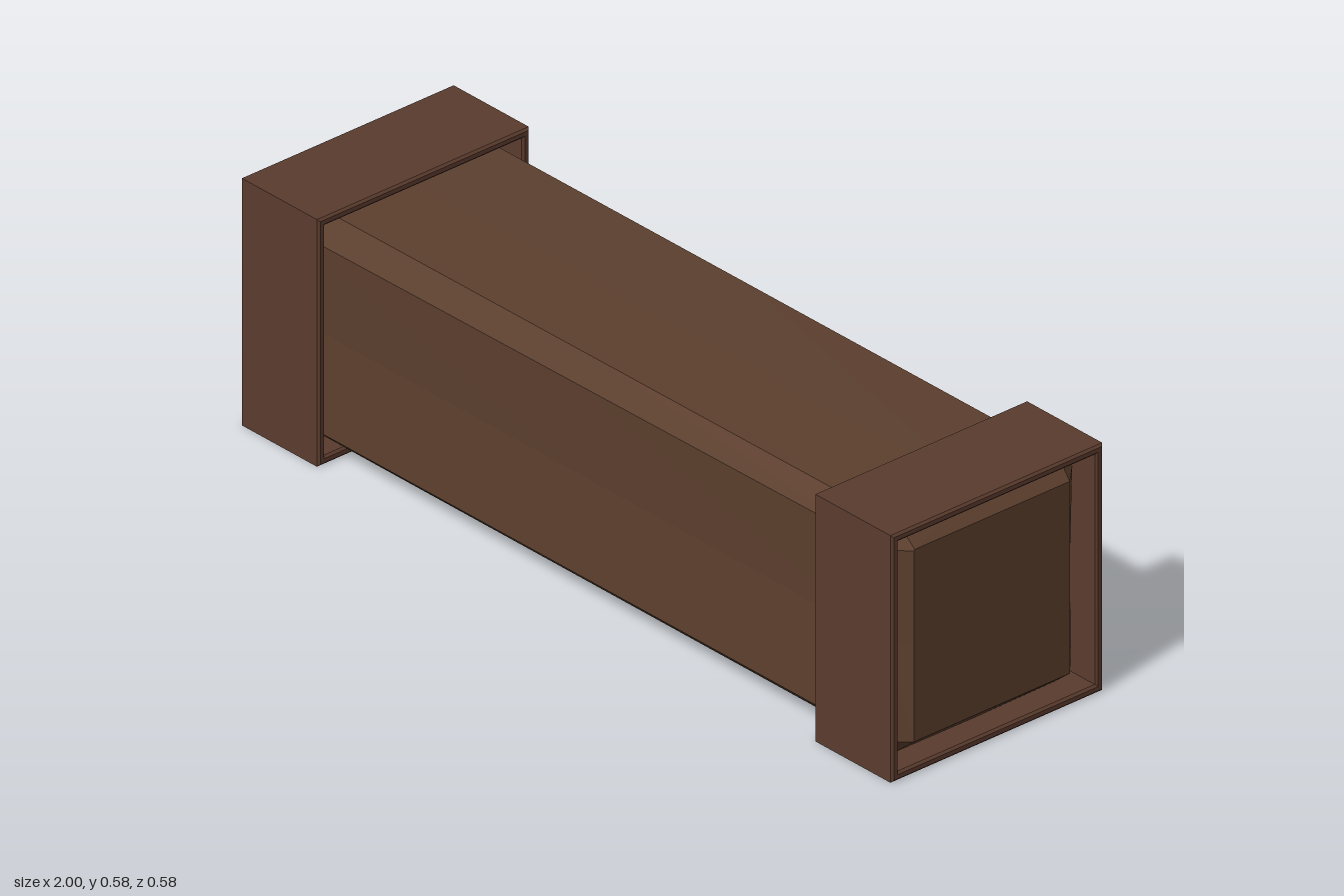
import * as THREE from 'three';

const beamWood = new THREE.MeshStandardMaterial({ color: 0x5c3f2e });
beamWood.name = 'beam brown';
const bandBrown = new THREE.MeshStandardMaterial({ color: 0x5a3b2e });
bandBrown.name = 'band brown';

const MID = 0.29; // height of the beam axis

// Worn, chamfered beam: [z, y] sections at the two ends, swept along x
function beamGeometry() {
  const left = [
    [0.262, 0.5], [0.215, 0.548], [0, 0.552], [-0.22, 0.552], [-0.262, 0.505], [-0.256, 0.29],
    [-0.26, 0.07], [-0.22, 0.026], [0, 0.026], [0.225, 0.026], [0.262, 0.06], [0.254, 0.29],
  ];
  const right = [
    [0.255, 0.508], [0.21, 0.55], [0, 0.557], [-0.22, 0.556], [-0.262, 0.512], [-0.255, 0.29],
    [-0.258, 0.062], [-0.215, 0.023], [0, 0.021], [0.22, 0.022], [0.257, 0.058], [0.25, 0.29],
  ];
  const n = left.length;
  const clamp = THREE.MathUtils.clamp;
  const rings = [-0.98, -0.935, 0, 0.935, 0.98].map((x) => left.map(([z, y], j) => {
    const t = (x + 1) / 2;
    let pz = z + (right[j][0] - z) * t;
    let py = y + (right[j][1] - y) * t;
    if (Math.abs(x) > 0.95) { // end faces shrink to a rectangle
      pz = clamp(pz, -0.215, 0.212);
      py = clamp(py, 0.06, 0.511);
    }
    return [x, py, pz];
  }));
  const pos = [];
  const tri = (a, b, c) => pos.push(...a, ...b, ...c);
  for (let j = 0; j < n; j++) {
    const k = (j + 1) % n;
    for (let i = 0; i < rings.length - 1; i++) {
      const [a, b, c, d] = [rings[i][j], rings[i][k], rings[i + 1][k], rings[i + 1][j]];
      tri(a, d, b);
      tri(b, d, c);
    }
    tri([-0.98, MID, 0], rings[0][j], rings[0][k]);
    tri([0.98, MID, 0], rings[4][k], rings[4][j]);
  }
  const g = new THREE.BufferGeometry();
  g.setAttribute('position', new THREE.Float32BufferAttribute(pos, 3));
  g.computeVertexNormals();
  return g;
}

// Square counter-profile of half-size s
function square(PathType, s) {
  const p = new PathType();
  p.moveTo(-s, -s);
  p.lineTo(s, -s);
  p.lineTo(s, s);
  p.lineTo(-s, s);
  p.closePath();
  return p;
}

// Hollow square band with slightly eased rims
function bandGeometry() {
  const shape = square(THREE.Shape, 0.29);
  shape.holes.push(square(THREE.Path, 0.27));
  const g = new THREE.ExtrudeGeometry(shape, {
    depth: 0.23, bevelEnabled: true, bevelThickness: 0.005,
    bevelSize: 0.005, bevelOffset: -0.005, bevelSegments: 1,
  });
  g.translate(0, 0, -0.115);
  g.rotateY(Math.PI / 2);
  return g;
}

export function createModel() {
  const model = new THREE.Group();
  const add = (parent, name, geometry, material, x, y, z) => {
    const mesh = new THREE.Mesh(geometry, material);
    mesh.name = name;
    mesh.position.set(x, y, z);
    parent.add(mesh);
    return mesh;
  };

  add(model, 'beam', beamGeometry(), beamWood, 0, 0, 0);

  // A band on each end, fixed with a bolt through both side walls
  const band = bandGeometry();
  const shank = new THREE.CylinderGeometry(0.025, 0.025, 0.035, 12).rotateX(Math.PI / 2);
  const collar = new THREE.CylinderGeometry(0.028, 0.028, 0.008, 12).rotateX(Math.PI / 2);
  for (const side of [1, -1]) {
    const end = new THREE.Group();
    end.name = side > 0 ? 'leftEnd' : 'rightEnd';
    end.position.set(side * 0.88, MID, 0);
    model.add(end);
    add(end, 'band', band, bandBrown, 0, 0, 0);
    for (const face of [1, -1]) {
      add(end, 'boltShank', shank, bandBrown, 0, 0, face * 0.26);
      add(end, 'boltCollar', collar, bandBrown, 0, 0, face * 0.259);
    }
  }
  return model;
}
